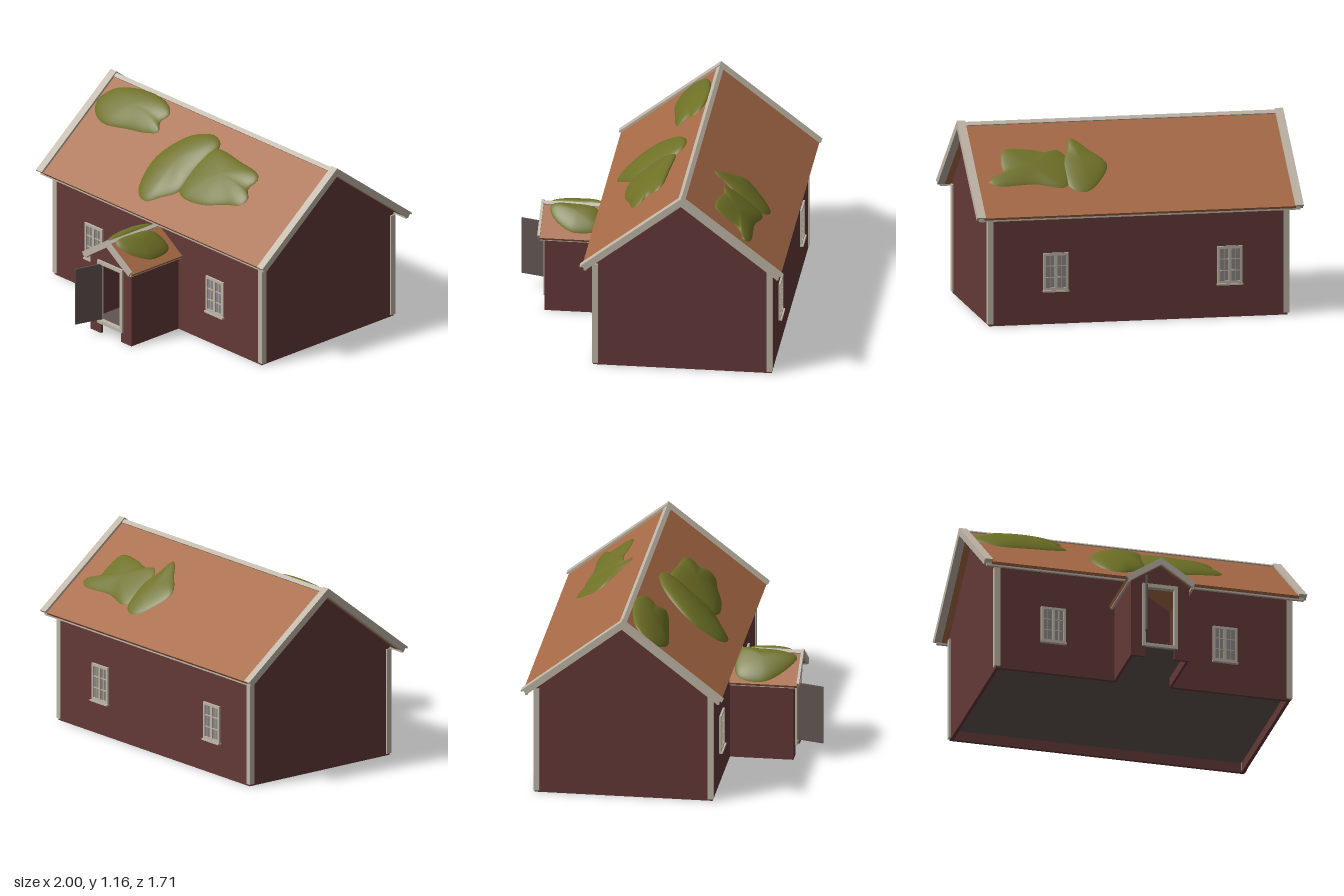
import * as THREE from 'three';

const mat = (name, color, side = THREE.FrontSide) => {
  const m = new THREE.MeshStandardMaterial({ color, side });
  m.name = name;
  return m;
};

export function createModel() {
  const house = new THREE.Group();
  house.name = 'house';
  const red = mat('red wall', 0x633837, THREE.DoubleSide);
  const trim = mat('pale trim', 0xbeb5a6);
  const tile = mat('clay roof', 0xa66945);
  const moss = mat('moss', 0x6e7126, THREE.DoubleSide);
  const wood = mat('dark wood', 0x615452);
  const glass = mat('grey glass', 0x8a8583);

  const add = (name, geo, material, parent = house) => {
    const m = new THREE.Mesh(geo, material);
    m.name = name;
    parent.add(m);
    return m;
  };
  // box given by its lower and upper corners
  const box = (name, a, b, material, parent) => {
    const m = add(name, new THREE.BoxGeometry(b[0] - a[0], b[1] - a[1], b[2] - a[2]), material, parent);
    m.position.set((a[0] + b[0]) / 2, (a[1] + b[1]) / 2, (a[2] + b[2]) / 2);
    return m;
  };
  const extrude = (pts, z0, z1) => {
    const shape = new THREE.Shape(pts.map(p => new THREE.Vector2(...p)));
    const g = new THREE.ExtrudeGeometry(shape, { depth: z1 - z0, bevelEnabled: false });
    return g.translate(0, 0, z0);
  };
  // roof-shaped band: a folded strip with ends cut square to the slope
  const chevron = (ridge, slope, half, t, z0, z1) => {
    const cut = t * slope / (1 + slope * slope);
    const x = half - cut, y = ridge - t - slope * x;
    const e = ridge - slope * half;
    return extrude([[0, ridge], [-half, e], [-x, y], [0, ridge - t], [x, y], [half, e]], z0, z1);
  };

  // ---- main house; cross-section runs along z, centred under the ridge
  const RZ = -0.24, S = 0.78;
  const along = g => g.rotateY(-Math.PI / 2).translate(0, 0, RZ);
  add('mainWalls', along(extrude(
    [[-0.54, 0.07], [0.54, 0.07], [0.54, 0.685], [0, 1.106], [-0.54, 0.685]], -0.915, 0.915)), red);
  // skirt walls below the raised floor, open under the porch
  box('backSkirt', [-0.915, 0, -0.78], [0.915, 0.07, -0.76], red);
  for (const s of [-1, 1]) {
    const [a, b] = [s * 0.915, s * 0.895].sort((p, q) => p - q);
    box('sideSkirt', [a, 0, -0.78], [b, 0.07, 0.3], red);
    const [c, d] = [s * 0.915, s * 0.17].sort((p, q) => p - q);
    box('frontSkirt', [c, 0, 0.28], [d, 0.07, 0.3], red);
  }
  box('mainFloor', [-0.895, 0.062, -0.76], [0.895, 0.069, 0.285], wood);

  // corner boards
  for (const sx of [-1, 1]) for (const z of [-0.768, 0.288]) {
    const m = box('cornerBoard', [-0.0175, 0.012, -0.0175], [0.0175, 0.665, 0.0175], trim);
    m.position.x = sx * 0.9075;
    m.position.z = z;
  }

  // roof, ridge cap, gable boards and eaves
  add('mainRoof', along(chevron(1.14, S, 0.6, 0.034, -0.955, 0.955)), tile);
  add('ridgeCap', along(chevron(1.149, S, 0.022, 0.02, -0.95, 0.95)), trim);
  for (const s of [-1, 1]) {
    const x = s * 0.975;
    add('gableBoard', along(chevron(1.152, S, 0.6, 0.045, x - 0.025, x + 0.025)), trim);
    add('gableCoverBoard', along(chevron(1.158, S, 0.613, 0.014, x - 0.025, x + 0.025)), trim);
    const z = RZ + s * 0.581;
    box('eaveBoard', [-0.985, 0.648, z - 0.008], [0.985, 0.667, z + 0.008], trim);
  }

  // ---- windows, two columns by three rows of panes
  const makeWindow = (x, z, turn) => {
    const w = new THREE.Group();
    w.name = 'window';
    box('glass', [-0.07, 0.21, 0], [0.07, 0.43, 0.004], glass, w);
    for (const c of [-0.069, 0, 0.069])
      box('uprightBar', [c - 0.008, 0.205, 0], [c + 0.008, 0.435, 0.012], trim, w);
    for (const y of [0.214, 0.427])
      box('frameRail', [-0.077, y - 0.008, 0], [0.077, y + 0.008, 0.012], trim, w);
    for (const y of [0.285, 0.356])
      box('glazingBar', [-0.07, y - 0.003, 0], [0.07, y + 0.003, 0.009], trim, w);
    for (const c of [-0.035, 0.035])
      box('thinBar', [c - 0.0015, 0.21, 0], [c + 0.0015, 0.43, 0.007], trim, w);
    box('sill', [-0.08, 0.197, 0], [0.08, 0.207, 0.022], trim, w);
    w.position.set(x, 0, z);
    w.rotation.y = turn;
    house.add(w);
  };
  for (const x of [-0.56, 0.507]) {
    makeWindow(x, 0.3, 0);
    makeWindow(x, -0.78, Math.PI);
  }

  // ---- porch
  const porch = new THREE.Group();
  porch.name = 'porch';
  house.add(porch);
  const PS = 0.66;
  add('porchFront', extrude([[-0.18, 0], [-0.09, 0], [-0.09, 0.465], [0.09, 0.465], [0.09, 0],
    [0.18, 0], [0.18, 0.485], [0, 0.604], [-0.18, 0.485]], 0.667, 0.685), red, porch);
  for (const s of [-1, 1]) {
    const [a, b] = [s * 0.18, s * 0.165].sort((p, q) => p - q);
    box('porchSide', [a, 0, 0.29], [b, 0.49, 0.67], red, porch);
    const e = s * 0.197;
    box('porchEaveBoard', [e - 0.008, 0.47, 0.3], [e + 0.008, 0.485, 0.71], trim, porch);
    const j = s * 0.099;
    box('doorJamb', [j - 0.011, 0.067, 0.665], [j + 0.011, 0.478, 0.697], trim, porch);
  }
  box('doorHead', [-0.11, 0.456, 0.665], [0.11, 0.48, 0.698], trim, porch);
  box('doorSill', [-0.11, 0.067, 0.665], [0.11, 0.087, 0.698], trim, porch);
  box('porchFloor', [-0.165, 0.062, 0.28], [0.165, 0.075, 0.68], wood, porch);
  add('porchRoof', chevron(0.632, PS, 0.215, 0.028, 0.25, 0.71), tile, porch);
  add('porchRidgeCap', chevron(0.641, PS, 0.02, 0.016, 0.25, 0.715), trim, porch);
  add('porchGableBoard', chevron(0.648, PS, 0.215, 0.045, 0.708, 0.724), trim, porch);

  // open door, hinged at the left jamb
  const door = new THREE.Group();
  door.name = 'door';
  box('doorPanel', [0, 0.097, -0.005], [0.178, 0.46, 0.005], wood, door);
  door.position.set(-0.08, 0, 0.687);
  door.rotation.y = -Math.PI / 2 - 0.28;
  porch.add(door);

  // ---- moss cushions: a plan outline domed over a roof surface
  const cushion = (name, outline, h, roofY, parent = house) => {
    const N = 56, R = 9, pos = [], idx = [];
    const curve = new THREE.CatmullRomCurve3(
      outline.map(([x, z]) => new THREE.Vector3(x, 0, z)), true, 'centripetal');
    const rim = curve.getSpacedPoints(N).slice(0, N);
    const c = rim.reduce((a, p) => a.add(p), new THREE.Vector3()).divideScalar(N);
    for (let r = 0; r <= R; r++) {
      const k = Math.sin((r / R) * Math.PI / 2);
      for (const p of rim) {
        const x = c.x + (p.x - c.x) * k, z = c.z + (p.z - c.z) * k;
        pos.push(x, roofY(x, z) - 0.003 + (h + 0.003) * Math.pow(1 - k * k, 0.55), z);
      }
    }
    for (let r = 0; r < R; r++) for (let i = 0; i < N; i++) {
      const j = (i + 1) % N, a = r * N + i, b = r * N + j, d = a + N, e = b + N;
      idx.push(a, e, d);
      if (r > 0) idx.push(a, b, e);
    }
    // keep faces turned upward whichever way the outline runs
    let area = 0;
    rim.forEach((p, i) => { const q = rim[(i + 1) % N]; area += p.x * q.z - q.x * p.z; });
    if (area < 0) idx.reverse();
    const g = new THREE.BufferGeometry();
    g.setAttribute('position', new THREE.Float32BufferAttribute(pos, 3));
    g.setIndex(idx);
    g.computeVertexNormals();
    add(name, g, moss, parent);
  };
  const mainY = (x, z) => 1.14 - S * Math.abs(z - RZ);
  const porchY = x => 0.632 - PS * Math.abs(x);

  cushion('mossFrontRight', [[-0.95, -0.08], [-0.9, -0.16], [-0.75, -0.21], [-0.55, -0.222], [-0.42, -0.19],
    [-0.39, -0.15], [-0.42, -0.11], [-0.38, -0.06], [-0.46, -0.03], [-0.6, -0.01], [-0.8, 0.013], [-0.9, -0.02]],
    0.05, mainY);
  cushion('mossFrontMiddle', [[-0.28, 0.11], [-0.26, 0.03], [-0.15, -0.1], [0, -0.155], [0.09, -0.13],
    [0.105, -0.08], [0.08, 0.05], [0.05, 0.17], [-0.05, 0.24], [-0.13, 0.285], [-0.23, 0.25]], 0.06, mainY);
  cushion('mossFrontLeft', [[0.02, -0.06], [0.09, -0.1], [0.3, -0.088], [0.5, -0.06], [0.52, -0.03], [0.495, 0.02],
    [0.55, 0.07], [0.53, 0.11], [0.42, 0.14], [0.25, 0.19], [0.06, 0.18], [0, 0.08]], 0.05, mainY);
  cushion('mossBackMiddle', [[0.14, -0.53], [0.2, -0.63], [0.3, -0.7], [0.38, -0.68], [0.415, -0.62],
    [0.42, -0.53], [0.37, -0.44], [0.335, -0.36], [0.24, -0.43]], 0.03, mainY);
  cushion('mossBackLeft', [[0.37, -0.6], [0.42, -0.665], [0.6, -0.64], [0.84, -0.64], [0.885, -0.61], [0.79, -0.56],
    [0.785, -0.49], [0.76, -0.42], [0.6, -0.42], [0.5, -0.44], [0.42, -0.43], [0.37, -0.5]], 0.03, mainY);
  cushion('mossPorchRight', [[-0.01, 0.33], [-0.17, 0.34], [-0.2, 0.5], [-0.13, 0.62], [-0.04, 0.69],
    [-0.015, 0.62], [-0.005, 0.45]], 0.05, porchY, porch);
  cushion('mossPorchLeft', [[0.03, 0.38], [0.08, 0.345], [0.15, 0.35], [0.175, 0.5], [0.15, 0.57],
    [0.08, 0.65], [0.02, 0.665], [0.01, 0.52]], 0.045, porchY, porch);

  return house;
}
